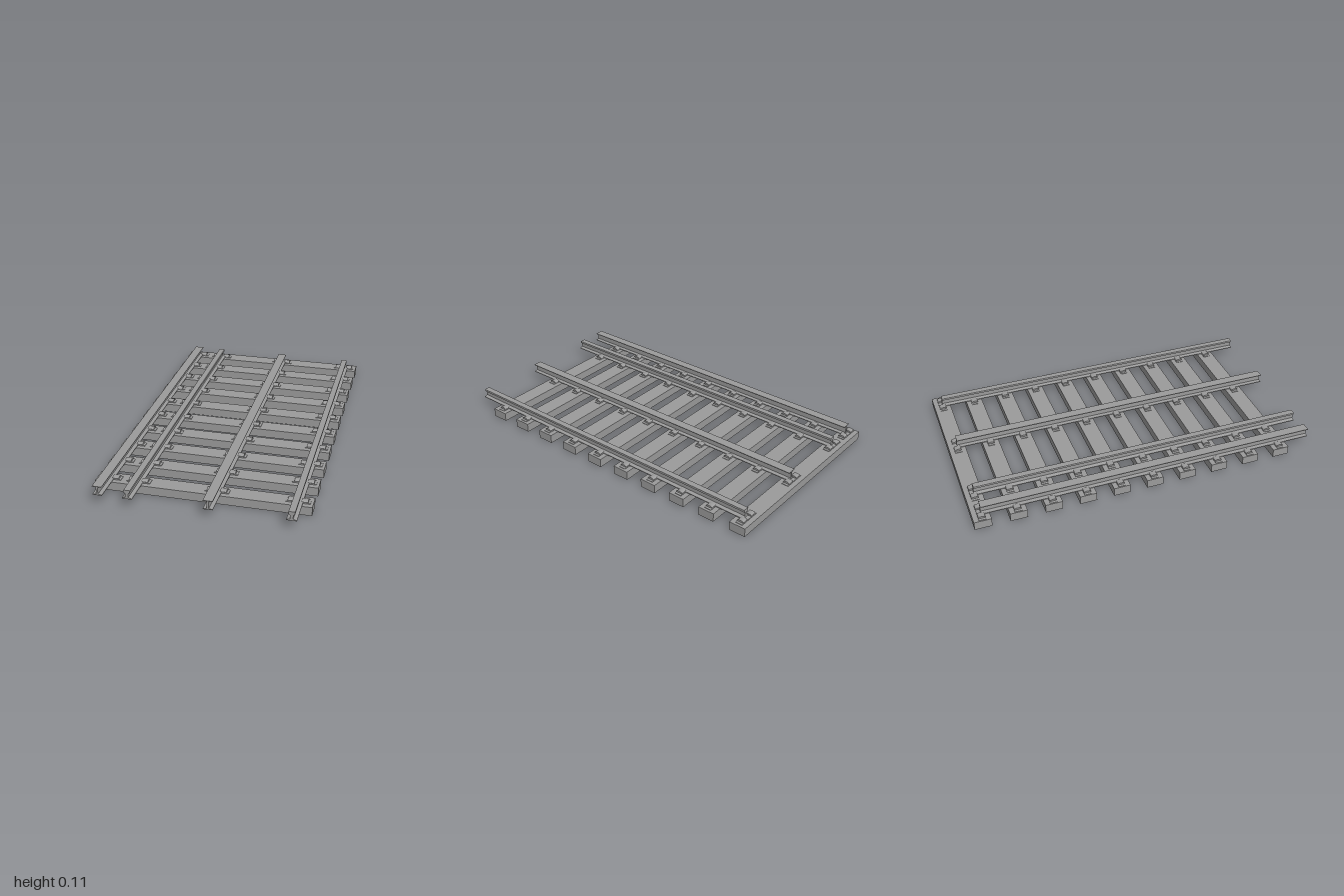
import * as THREE from 'three';

const material = new THREE.MeshStandardMaterial({ color: 0x9b9b9b, flatShading: true });

const SLEEPERS = 10, PITCH = 0.1952, FIRST_Z = -0.952;
const RAIL_BACK = -0.95, RAIL_FRONT = 1;

// Extrudes a closed outline along z from z0 to z1.
function extrude(points, z0, z1) {
  const shape = new THREE.Shape(points.map(([x, y]) => new THREE.Vector2(x, y)));
  return new THREE.ExtrudeGeometry(shape, { depth: z1 - z0, bevelEnabled: false }).translate(0, 0, z0);
}

// Completes a right-hand half profile (bottom to top) with its mirror image.
const mirrored = (half) => [...half, ...half.map(([x, y]) => [-x, y]).reverse()];

function addMesh(parent, geometry, name, x = 0, y = 0, z = 0) {
  const mesh = new THREE.Mesh(geometry, material);
  mesh.name = name;
  mesh.position.set(x, y, z);
  parent.add(mesh);
  return mesh;
}

export function createModel() {
  const model = new THREE.Group();
  model.name = 'railwayTrack';

  // Flat-topped rail: thin wide head on a slim web
  const flatRail = extrude(mirrored([
    [0.026, 0.054], [0.026, 0.058], [0.005, 0.061], [0.005, 0.102], [0.026, 0.102], [0.026, 0.106],
  ]), RAIL_BACK, RAIL_FRONT);

  // Running rail: bulky head, thick web, sloping foot
  const runningRail = extrude(mirrored([
    [0.027, 0.054], [0.027, 0.058], [0.008, 0.064], [0.008, 0.086],
    [0.017, 0.092], [0.017, 0.104], [0.014, 0.106],
  ]), RAIL_BACK, RAIL_FRONT);

  // Fastenings: a thin base plate under the rail and an arched clip gripping each side of the foot
  const plate = extrude(mirrored([[0.065, 0.049], [0.065, 0.053], [0.05, 0.055]]), -0.02, 0.02);
  const clipArch = mirrored([[0.019, 0.054], [0.019, 0.058], [0.016, 0.062], [0.011, 0.0645], [0.004, 0.0655]]);
  const rightClip = extrude(clipArch, 0.018, 0.053).rotateY(Math.PI / 2);
  const leftClip = extrude(clipArch, -0.053, -0.018).rotateY(Math.PI / 2);

  const rails = [
    ['outerGuardRail', -0.515, flatRail],
    ['outerRunningRail', -0.353, runningRail],
    ['middleRail', 0.077, flatRail],
    ['innerRunningRail', 0.505, runningRail],
  ];
  for (const [name, x, geometry] of rails) addMesh(model, geometry, name, x);

  // Sleepers with one fastening under every rail
  const sleeper = new THREE.BoxGeometry(1.17, 0.05, 0.096);
  for (let i = 0; i < SLEEPERS; i++) {
    const z = FIRST_Z + i * PITCH;
    addMesh(model, sleeper, 'sleeper', 0, 0.025, z);
    for (const [, x] of rails) {
      const fastening = new THREE.Group();
      fastening.name = 'fastening';
      fastening.position.set(x, 0, z);
      addMesh(fastening, plate, 'basePlate');
      addMesh(fastening, rightClip, 'clip');
      addMesh(fastening, leftClip, 'clip');
      model.add(fastening);
    }
  }
  return model;
}
